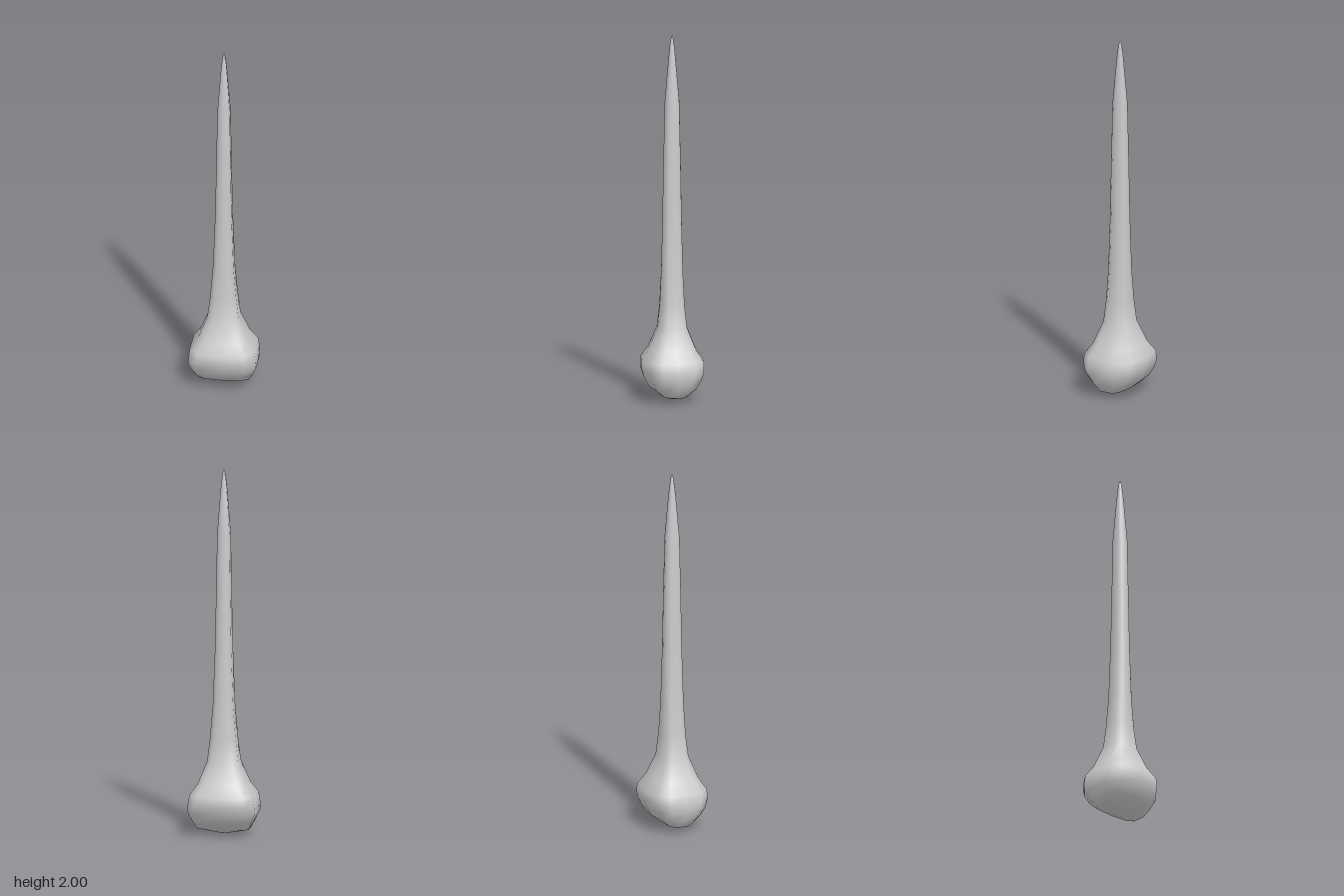
import * as THREE from 'three';

// Cross-sections from bottom to top: [height, half width x, half depth z, corner fullness]
const RINGS = [
  [0.03, 0.14, 0.07, 0.72],
  [0.075, 0.162, 0.125, 0.74],
  [0.125, 0.185, 0.153, 0.75],
  [0.17, 0.182, 0.168, 0.75],
  [0.22, 0.174, 0.168, 0.74],
  [0.28, 0.132, 0.128, 0.72],
  [0.4, 0.085, 0.08, 0.68],
  [0.52, 0.071, 0.068, 0.65],
  [0.7, 0.056, 0.06, 0.62],
  [1.0, 0.045, 0.053, 0.6],
  [1.3, 0.039, 0.048, 0.6],
  [1.64, 0.034, 0.04, 0.6],
  [1.8, 0.023, 0.026, 0.62],
  [1.92, 0.014, 0.015, 0.65],
  [1.98, 0.007, 0.007, 0.68],
];

// Twelve-point rounded box outline, running from +z towards +x
function outline(x, z, c) {
  const quarter = [[0, z], [c * x, 0.88 * z], [x, 0.53 * z], [x, 0]];
  const half = [...quarter, ...quarter.slice(0, 3).reverse().map(([a, b]) => [a, -b])];
  return [...half, ...half.slice(1, -1).reverse().map(([a, b]) => [-a, b])];
}

function loft(rings, bottomY, topY) {
  const positions = [];
  const index = [];
  const n = 12;
  for (const [y, x, z, c] of rings) {
    for (const [px, pz] of outline(x, z, c)) positions.push(px, y, pz);
  }
  const bottom = rings.length * n;
  const top = bottom + 1;
  positions.push(0, bottomY, 0, 0, topY, 0);
  for (let i = 0; i < n; i++) {
    const j = (i + 1) % n;
    for (let r = 0; r < rings.length - 1; r++) {
      const a = r * n + i, b = r * n + j;
      index.push(a, b, b + n, a, b + n, a + n);
    }
    const last = (rings.length - 1) * n;
    index.push(bottom, j, i, top, last + i, last + j);
  }
  const geometry = new THREE.BufferGeometry();
  geometry.setAttribute('position', new THREE.Float32BufferAttribute(positions, 3));
  geometry.setIndex(index);
  geometry.computeVertexNormals();
  return geometry;
}

export function createModel() {
  const group = new THREE.Group();
  group.name = 'taperedSpike';

  // Bulbous base flowing into a long pointed shaft, one smooth skin
  const material = new THREE.MeshStandardMaterial({ color: 0xcccccc });
  const spike = new THREE.Mesh(loft(RINGS, 0, 2), material);
  spike.name = 'bulbAndShaft';
  group.add(spike);
  return group;
}
